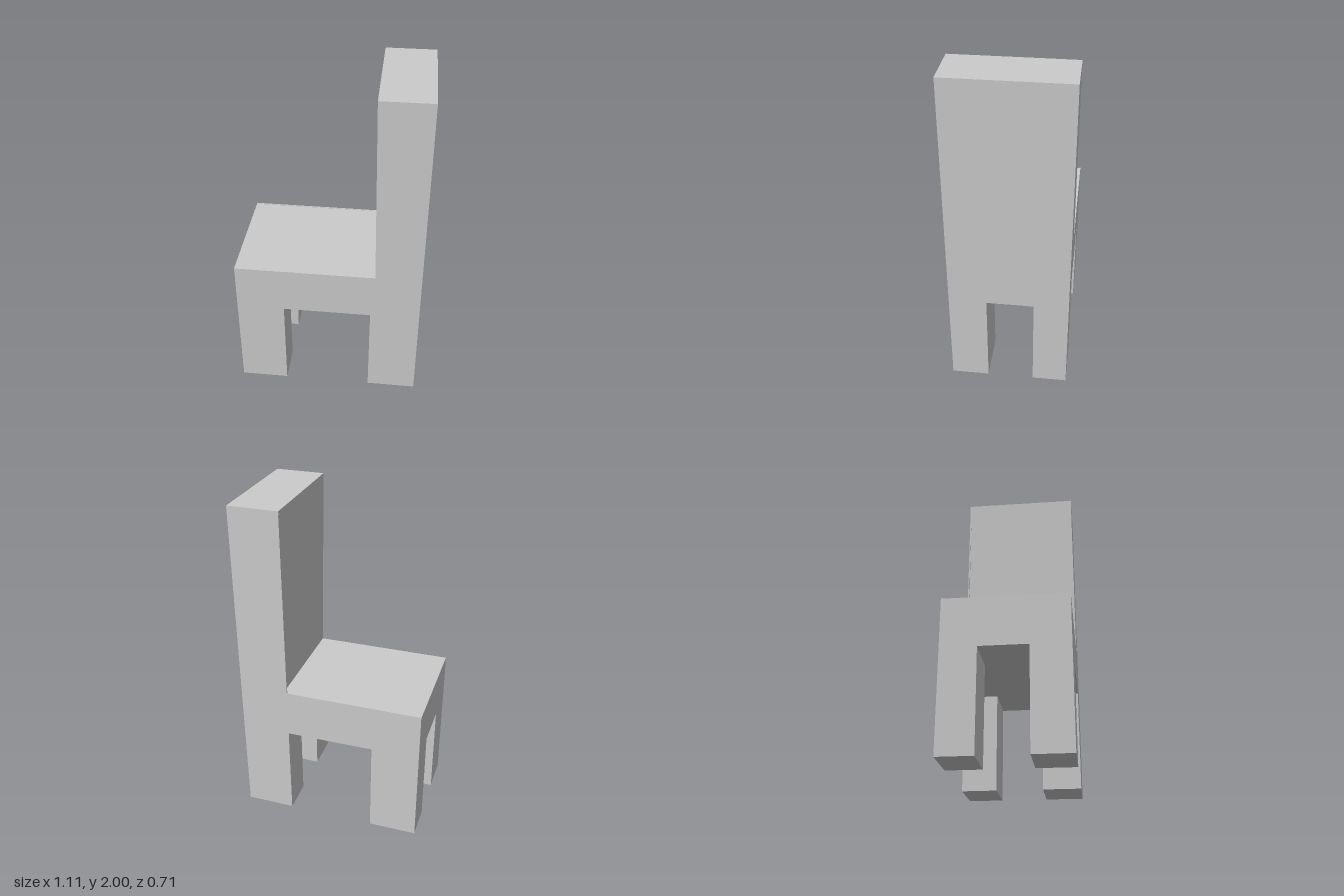
import * as THREE from 'three';

const LEFT = -0.555, RIGHT = 0.555;      // seat edge and rear of the backrest
const BACK = -0.353, FRONT = 0.353;
const UNDERSIDE = 0.585, SEAT = 0.873, TOP = 2;

export function createModel() {
  const group = new THREE.Group();
  const material = new THREE.MeshStandardMaterial({ color: 0xcccccc, flatShading: true });

  function add(name, geometry) {
    const mesh = new THREE.Mesh(geometry, material);
    mesh.name = name;
    group.add(mesh);
  }

  // L-shaped side outline, extruded between two depths
  function seatAndBackrest(name, z0, z1, seatY, footX, topX) {
    const shape = new THREE.Shape([
      [LEFT, UNDERSIDE], [RIGHT, UNDERSIDE], [RIGHT, TOP],
      [topX, TOP], [footX, seatY], [LEFT, seatY],
    ].map(([x, y]) => new THREE.Vector2(x, y)));
    const geometry = new THREE.ExtrudeGeometry(shape, { depth: z1 - z0, bevelEnabled: false });
    add(name, geometry.translate(0, 0, z0));
  }

  // Main body with a slightly leaning backrest, and the thin upright rim beside it
  seatAndBackrest('seatAndBackrest', BACK + 0.008, FRONT, SEAT, 0.283, 0.259);
  seatAndBackrest('sideRim', BACK, BACK + 0.008, SEAT + 0.003, 0.26, 0.26);

  // Four square legs
  for (const [side, x0, x1] of [['seat', LEFT, -0.267], ['backrest', 0.26, RIGHT]]) {
    for (const [end, z0, z1] of [['Back', BACK, -0.148], ['Front', 0.129, FRONT]]) {
      const leg = new THREE.BoxGeometry(x1 - x0, UNDERSIDE, z1 - z0);
      add(`${side}${end}Leg`, leg.translate((x0 + x1) / 2, UNDERSIDE / 2, (z0 + z1) / 2));
    }
  }

  return group;
}
